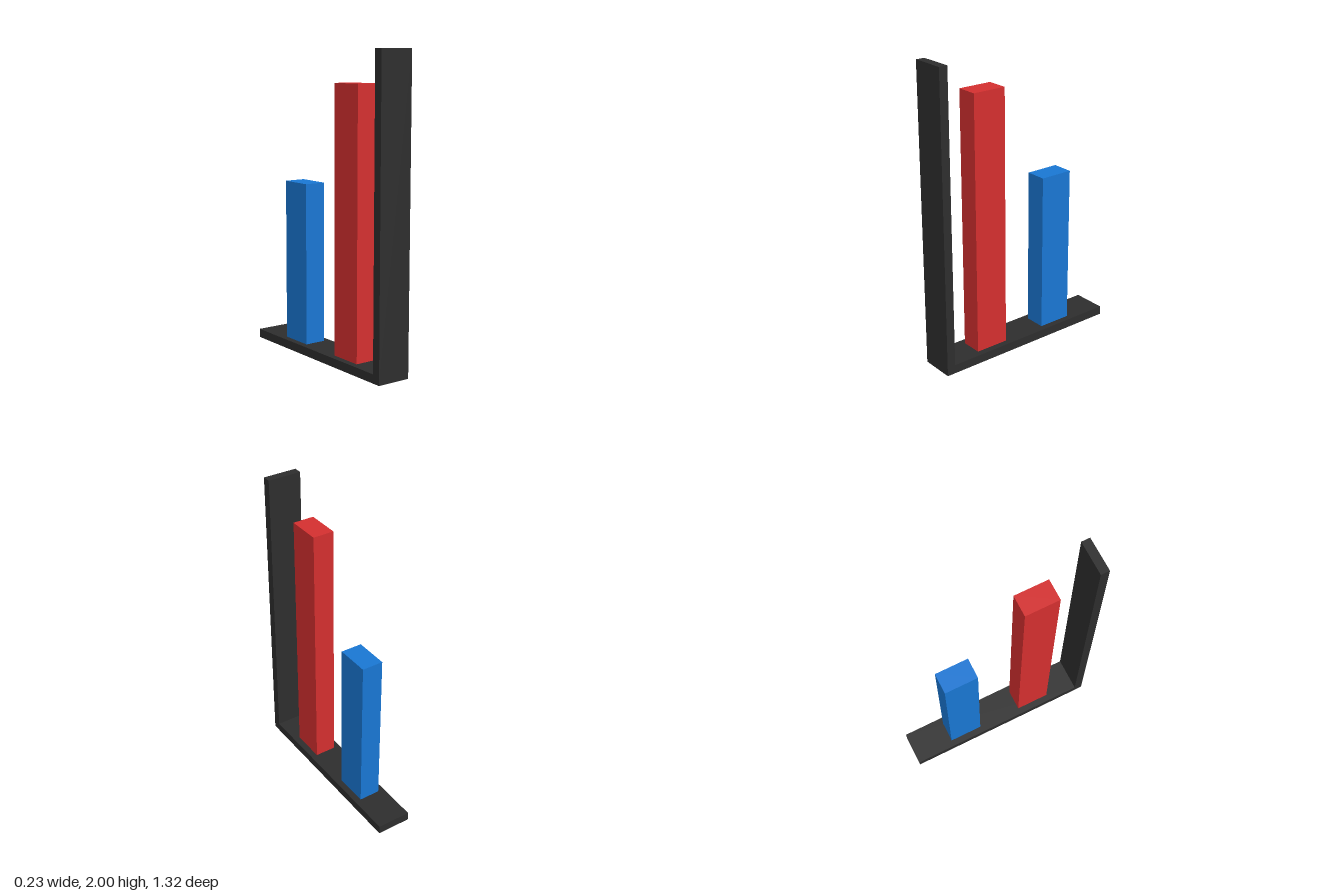
import * as THREE from 'three';

const HALF_WIDTH = 0.115, DEPTH = 1.32, THICK = 0.058;

// Box given by its ranges along y and z, centred on x
function block(name, color, width, [y0, y1], [z0, z1]) {
  const mesh = new THREE.Mesh(
    new THREE.BoxGeometry(width, y1 - y0, z1 - z0),
    new THREE.MeshStandardMaterial({ color })
  );
  mesh.position.set(0, (y0 + y1) / 2, (z0 + z1) / 2);
  mesh.name = name;
  return mesh;
}

// One-piece L-shaped frame: flat base with an upright at the front
function axisFrame() {
  const h = DEPTH / 2;
  const profile = new THREE.Shape([
    [-h, 0], [h, 0], [h, THICK], [-h + THICK, THICK], [-h + THICK, 2], [-h, 2],
  ].map(([u, v]) => new THREE.Vector2(u, v)));
  const geometry = new THREE.ExtrudeGeometry(profile, { depth: 2 * HALF_WIDTH, bevelEnabled: false });
  geometry.translate(0, 0, -HALF_WIDTH).rotateY(Math.PI / 2);
  const mesh = new THREE.Mesh(geometry, new THREE.MeshStandardMaterial({ color: 0x2d2d2d }));
  mesh.name = 'axisFrame';
  return mesh;
}

export function createModel() {
  const model = new THREE.Group();
  model.name = 'barChart';
  model.add(
    axisFrame(),
    // Bars standing on the base
    block('tallBar', 0xd32f2f, 0.144, [THICK, 1.79], [0.157, 0.388]),
    block('shortBar', 0x1976d2, 0.144, [THICK, 1.13], [-0.383, -0.152])
  );
  return model;
}
